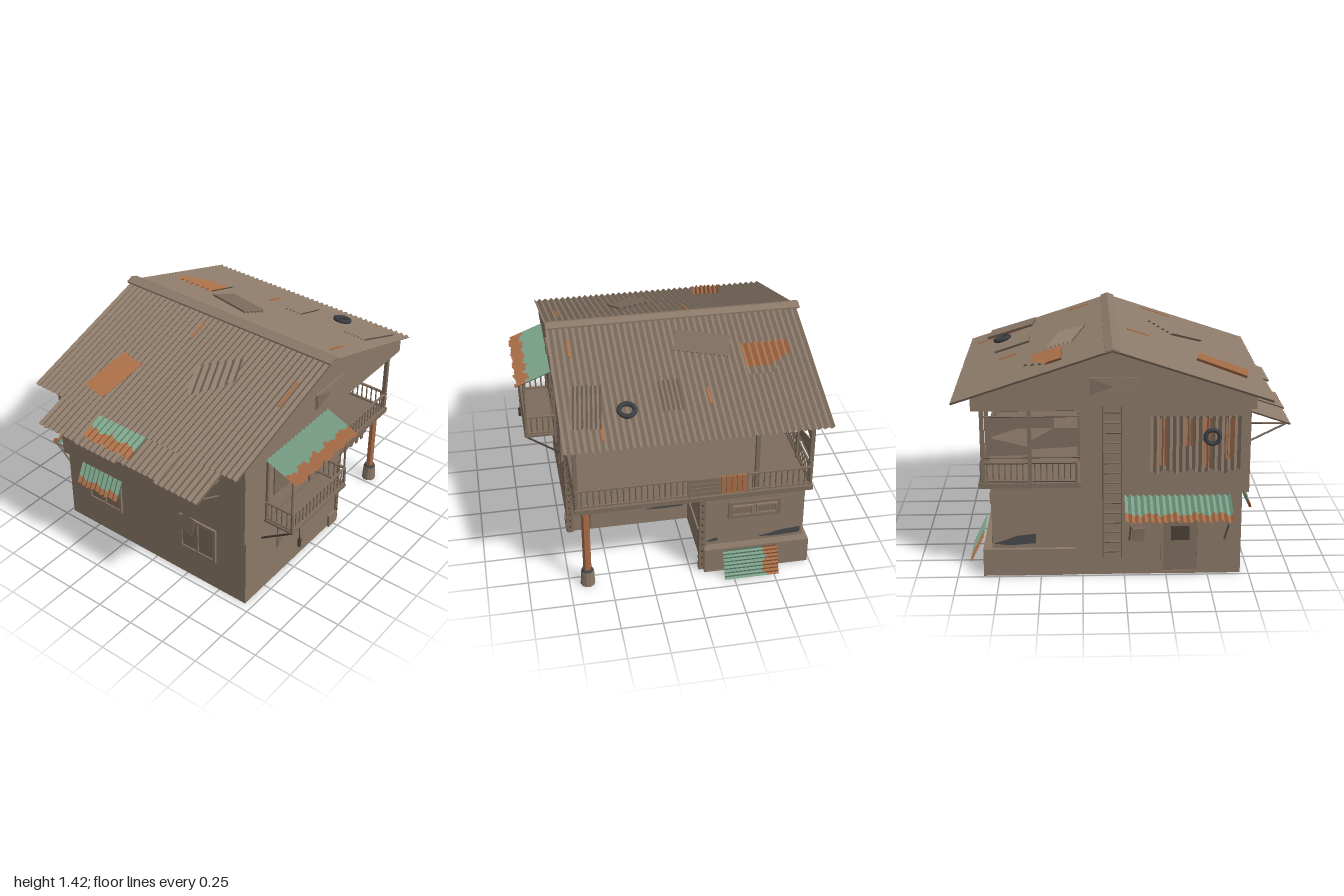
import * as THREE from 'three';

const mat = (name, color, extra = {}) => {
  const m = new THREE.MeshStandardMaterial({ color, side: THREE.DoubleSide, flatShading: true, ...extra });
  m.name = name;
  return m;
};

export function createModel() {
  const house = new THREE.Group();
  house.name = 'house';
  const wall = mat('weathered wall', 0x8a7867), wood = mat('old wood', 0x7d6c5c), tin = mat('dull tin', 0x8b7968);
  const rust = mat('rust', 0xa86d47), green = mat('green paint', 0x7aa088), dark = mat('dark grey', 0x47484a);
  const iron = mat('dark iron', 0x4b4037), rubber = mat('rubber', 0x3b3e41);

  // ---- helpers ----
  const add = (name, geo, m, parent = house) => {
    const mesh = new THREE.Mesh(geo, m);
    mesh.name = name;
    parent.add(mesh);
    return mesh;
  };
  const box = (name, m, x0, x1, y0, y1, z0, z1, parent) => {
    const mesh = add(name, new THREE.BoxGeometry(x1 - x0, y1 - y0, z1 - z0), m, parent);
    mesh.position.set((x0 + x1) / 2, (y0 + y1) / 2, (z0 + z1) / 2);
    return mesh;
  };
  const bar = (name, m, a, b, r = 0.006, parent) => {
    const p = new THREE.Vector3(...a), d = new THREE.Vector3(...b).sub(p);
    const mesh = add(name, new THREE.CylinderGeometry(r, r, d.length(), 6), m, parent);
    mesh.position.copy(p).addScaledVector(d, 0.5);
    mesh.quaternion.setFromUnitVectors(new THREE.Vector3(0, 1, 0), d.normalize());
    return mesh;
  };
  const frame = (name, x, y, z, ry = 0, rx = 0, parent = house) => {
    const g = new THREE.Group();
    g.name = name;
    g.rotation.order = 'YXZ';
    g.position.set(x, y, z);
    g.rotation.set(rx, ry, 0);
    parent.add(g);
    return g;
  };
  const poly = (name, m, pts, z, depth = 0.006, parent) => {
    const s = new THREE.Shape(pts.map(p => new THREE.Vector2(...p)));
    const mesh = add(name, new THREE.ExtrudeGeometry(s, { depth, bevelEnabled: false }), m, parent);
    mesh.position.z = z;
    return mesh;
  };
  // corrugated sheet: waves across x, running from z0(x) to z1(x)
  const sheet = (name, m, w, waves, amp, z0, z1, parent) => {
    const geo = new THREE.PlaneGeometry(w, 1, waves * 4, 1).rotateX(-Math.PI / 2);
    const p = geo.attributes.position, at = (f, x) => (typeof f === 'function' ? f(x) : f);
    for (let i = 0; i < p.count; i++) {
      const x = p.getX(i);
      p.setY(i, amp * Math.cos((x / w + 0.5) * waves * Math.PI * 2));
      p.setZ(i, at(p.getZ(i) < 0 ? z0 : z1, x));
    }
    geo.computeVertexNormals();
    return add(name, geo, m, parent);
  };
  const ragged = (z, k = 1) => x => z + k * (0.012 * Math.sin(x * 47) + 0.008 * Math.sin(x * 113 + 1));
  const rustySheet = (g, w, waves, z0, mid, z1, amp = 0.008) => {
    sheet('green sheet', green, w, waves, amp, z0, ragged(mid), g);
    sheet('rusty edge', rust, w, waves, amp, ragged(mid), ragged(z1, 0.5), g);
  };
  const railing = (a, b, y0, y1, gap = 0.036) => {
    const n = Math.round(Math.hypot(b[0] - a[0], b[1] - a[1]) / gap);
    for (const y of [y0 + 0.012, y1]) bar('rail', wood, [a[0], y, a[1]], [b[0], y, b[1]], 0.009);
    for (let i = 0; i <= n; i++) {
      const x = a[0] + (b[0] - a[0]) * i / n, z = a[1] + (b[1] - a[1]) * i / n;
      bar('baluster', wood, [x, y0, z], [x, y1, z], i % n ? 0.005 : 0.01);
    }
  };
  const opening = (name, g, w, h, pane, trim, t = 0.018) => {
    box(name + ' pane', pane, -w / 2, w / 2, -h / 2, h / 2, 0, 0.006, g);
    for (const s of [-1, 1]) {
      box(name + ' jamb', trim, s * w / 2 - t / 2, s * w / 2 + t / 2, -h / 2, h / 2, 0, 0.014, g);
      box(name + ' sill', trim, -w / 2 - t / 2, w / 2 + t / 2, s * h / 2 - t / 2, s * h / 2 + t / 2, 0, 0.014, g);
    }
  };
  const tire = (x, y, z, r, parent) => {
    const t = add('tire', new THREE.TorusGeometry(r, r * 0.32, 8, 20), rubber, parent);
    t.position.set(x, y, z);
    return t;
  };
  const Q = Math.PI / 2;

  // ---- storeys ----
  box('ground floor', wall, -0.7, 0.29, 0, 0.57, -0.73, 0.7);
  box('ground floor wing', wall, 0.29, 0.79, 0, 0.57, -0.71, -0.09);
  box('wing plinth', wall, 0.28, 0.845, 0, 0.17, -0.735, -0.08);
  poly('upper floor', wall, [[-0.74, 0.52], [0.26, 0.52], [0.26, 1.32], [0.07, 1.38], [-0.74, 1.115]], -0.735, 1.455);
  for (const z of [-0.745, 0.715])
    poly('gable', wall, [[-0.77, 1.04], [0.89, 1.04], [0.89, 1.115], [0.07, 1.385], [-0.77, 1.115]], z, 0.025);
  box('eave beam', wall, 0.86, 0.885, 1.04, 1.11, -0.73, 0.72);
  box('porch floor', wood, 0.25, 0.86, 0.56, 0.59, -0.735, 0.705);
  box('corner footing', wall, 0.2, 0.29, 0, 0.09, 0.66, 0.715);
  for (const [x, z] of [[0.29, 0.69], [0.8, -0.07]]) {
    box('steel post', wood, x - 0.013, x + 0.013, 0, 0.57, z - 0.02, z + 0.02);
    for (let y = 0.04; y < 0.56; y += 0.05) {
      box('rivet', iron, x - 0.005, x + 0.005, y, y + 0.01, z + 0.019, z + 0.024);
      box('rivet', iron, x + 0.012, x + 0.017, y, y + 0.01, z - 0.005, z + 0.005);
    }
  }

  // ---- roof: local z runs down each slope ----
  const a = 0.318, slopes = {};
  for (const s of [-1, 1]) {
    const g = slopes[s] = frame(s > 0 ? 'right roof slope' : 'left roof slope', 0.07, 1.4, 0, s * Q, a);
    const r = sheet('corrugated roof', tin, 1.55, 40, 0.008, 0, 0.98, g);
    r.position.x = s * 0.015;
  }
  const patch = (x, z, turn = 0) => {
    const s = x > 0.07 ? 1 : -1;
    return frame('roof patch', -s * z, 0.022, Math.abs(x - 0.07) / Math.cos(a), turn, 0, slopes[s]);
  };
  sheet('rusty sheet', rust, 0.17, 6, 0.009, -0.16, 0.16, patch(-0.6, -0.37, -0.18));
  sheet('torn sheet', tin, 0.27, 6, 0.009, x => -0.11 - 0.3 * x, x => Math.min(0.15, 0.1 - 0.6 * x), patch(-0.34, 0.2, 0.35));
  sheet('loose sheet', tin, 0.17, 6, 0.009, -0.165, 0.165, patch(0.33, -0.15, -1.84));
  sheet('small sheet', tin, 0.14, 5, 0.008, -0.115, 0.115, patch(0.68, 0.11));
  sheet('lower sheet', tin, 0.18, 7, 0.009, -0.16, 0.16, patch(0.71, 0.6, -0.12));
  const torn = patch(0.47, -0.52), tornEdge = x => Math.max(-0.05, Math.min(0.125, 0.125 - 1.1 * x));
  sheet('torn rusty sheet', rust, 0.29, 7, 0.009, -0.12, x => tornEdge(x) * 0.6 - 0.01, torn);
  sheet('torn sheet edge', tin, 0.29, 7, 0.009, x => tornEdge(x) * 0.6 - 0.01, tornEdge, torn);
  tire(0, 0.005, 0, 0.046, patch(0.76, 0.37)).rotation.x = Q;
  for (const [x, z, l] of [[-0.1, -0.13, 0.14], [0.27, 0.64, 0.14], [0.8, 0.53, 0.3], [-0.25, 0.66, 0.2], [0.7, -0.12, 0.12]])
    box('rust streak', rust, -0.008, 0.008, -0.014, -0.009, -l / 2, l / 2, patch(x, z));
  poly('ridge cap', tin, [[0.025, 1.395], [0.07, 1.41], [0.115, 1.395], [0.115, 1.405], [0.07, 1.422], [0.025, 1.405]], -0.81, 1.57);

  // ---- awnings ----
  rustySheet(frame('front awning', -0.265, 1.06, 0.735, 0, 0.38), 0.63, 17, 0, 0.16, 0.24);
  rustySheet(frame('back awning', -0.315, 0.505, -0.73, Math.PI, 0.32), 0.63, 17, 0, 0.175, 0.245);
  const side = frame('left awning', -0.74, 1.0, -0.045, -Q, 0.33);
  for (let i = 0; i < 4; i++) {
    const s = sheet('awning sheet', tin, 0.33, 8, 0.007, 0, 0.255 + 0.012 * Math.sin(i * 2.3), side);
    s.position.set(-0.46 + i * 0.307, 0.006 * (i % 2), 0);
  }
  rustySheet(frame('awning patch', -0.11, 0.02, 0, 0, 0, side), 0.37, 9, 0.01, 0.13, 0.205);
  rustySheet(frame('window awning', -0.705, 0.51, -0.42, -Q, 1.13), 0.34, 9, 0, 0.12, 0.165);
  const lean = frame('leaning sheet', 0.9, 0.087, 0);
  lean.rotation.z = -1.13;
  sheet('rusty end', rust, 0.185, 8, 0.007, -0.53, ragged(-0.44), lean);
  sheet('green sheet', green, 0.185, 8, 0.007, ragged(-0.44), -0.19, lean);
  for (const z of [-0.62, 0, 0.53]) {
    bar('awning strut', wood, [-0.74, 0.8, z], [-0.97, 0.915, z]);
    bar('awning arm', wood, [-0.74, 0.915, z], [-0.98, 0.912, z]);
  }
  for (const x of [-0.6, -0.03]) {
    bar('awning strut', wood, [x, 0.22, -0.73], [x, 0.415, -0.95]);
    bar('awning arm', wood, [x, 0.41, -0.73], [x, 0.41, -0.97]);
  }

  // ---- front balcony ----
  box('balcony floor', wood, -0.55, 0.02, 0.575, 0.59, 0.7, 0.925);
  railing([-0.54, 0.915], [0.01, 0.915], 0.59, 0.72);
  for (const x of [-0.54, 0.01]) {
    railing([x, 0.73], [x, 0.915], 0.59, 0.72);
    bar('awning post', wood, [x, 0.59, 0.91], [x, 0.99, 0.91], 0.007);
    bar('balcony strut', iron, [x, 0.42, 0.69], [x, 0.58, 0.92], 0.007);
  }
  opening('balcony window', frame('balcony window', -0.27, 0.8, 0.72), 0.52, 0.42, wall, wood);
  box('window shutter', wood, -0.47, -0.24, 0.73, 1.0, 0.725, 0.734);
  box('window mullion', wood, -0.1, -0.085, 0.6, 1.0, 0.725, 0.737);
  add('lantern', new THREE.CylinderGeometry(0.011, 0.011, 0.06, 8), iron).position.set(-0.47, 0.465, 0.925);
  bar('lantern cord', iron, [-0.47, 0.49, 0.925], [-0.47, 0.58, 0.92], 0.003);

  // ---- porch ----
  railing([0.28, 0.695], [0.84, 0.695], 0.59, 0.715);
  railing([0.28, -0.72], [0.84, -0.72], 0.59, 0.715);
  railing([0.84, 0.695], [0.84, 0.02], 0.59, 0.715);
  railing([0.84, -0.33], [0.84, -0.72], 0.59, 0.715);
  for (let i = 0; i < 4; i++) box('rail plank', wood, 0.835, 0.85, 0.595 + i * 0.031, 0.621 + i * 0.031, -0.17, 0.03);
  for (let i = 0; i < 5; i++) box('rusty rail board', rust, 0.835, 0.85, 0.595, 0.715, -0.2 - i * 0.032, -0.173 - i * 0.032);
  for (const [x, z] of [[0.83, 0.69], [0.83, -0.39], [0.83, -0.72], [0.555, -0.72]])
    box('porch post', wood, x - 0.012, x + 0.012, 0.59, 1.14, z - 0.012, z + 0.012);
  for (const y of [0.75, 1.0]) bar('screen rail', wood, [0.26, y, -0.725], [0.83, y, -0.725], 0.006);
  for (const pts of [[[0.26, 0.93], [0.41, 0.93], [0.55, 0.85], [0.55, 0.8], [0.26, 0.815]],
    [[0.41, 1.0], [0.8, 1.0], [0.8, 0.87], [0.62, 0.93], [0.41, 0.93]],
    [[0.54, 0.81], [0.8, 0.875], [0.8, 0.76], [0.56, 0.765]]])
    poly('broken back screen', wood, pts, -0.728);
  bar('rusty column', rust, [0.81, 0.08, 0.64], [0.81, 0.57, 0.64], 0.025);
  add('column base', new THREE.CylinderGeometry(0.04, 0.045, 0.1, 10), wall).position.set(0.81, 0.05, 0.64);
  add('column collar', new THREE.CylinderGeometry(0.032, 0.04, 0.02, 10), dark).position.set(0.81, 0.105, 0.64);
  for (let i = 0; i < 15; i++)
    box('hanging plank', wood, 0.315 + i * 0.031, 0.342 + i * 0.031, 0.36 + 0.035 * Math.abs(Math.sin(i * 1.7)), 0.52, 0.6, 0.608);
  bar('plank rail', wood, [0.3, 0.51, 0.6], [0.8, 0.51, 0.6]);
  railing([0.305, 0.62], [0.305, -0.04], 0.39, 0.51, 0.05);
  const upperDoor = frame('porch door', 0.26, 0.79, -0.23, Q);
  opening('porch door', upperDoor, 0.25, 0.4, rust, rust);
  box('door screen', dark, -0.11, 0.11, -0.07, 0.18, 0.006, 0.012, upperDoor);
  const upperWindow = frame('porch window', 0.26, 0.86, -0.54, Q);
  opening('porch window', upperWindow, 0.24, 0.28, wall, wood);
  box('dark pane', dark, -0.12, -0.05, -0.11, 0.07, 0.006, 0.011, upperWindow);

  // ---- windows, doors and vents ----
  const wing = frame('wing window', 0.79, 0.42, -0.395, Q);
  opening('wing window', wing, 0.31, 0.1, wall, wood);
  for (const x of [-0.075, 0.075]) opening('sash', frame('sash', x, 0, 0.008, 0, 0, wing), 0.12, 0.06, wood, tin, 0.01);
  for (const pts of [[[-0.38, 0.45], [-0.38, 0.35], [-0.32, 0.4]], [[-0.25, 0.45], [-0.145, 0.45], [-0.145, 0.345]],
    [[-0.38, 0.33], [-0.38, 0.23], [-0.32, 0.28]], [[-0.145, 0.33], [-0.145, 0.23], [-0.2, 0.28]]])
    poly('broken window board', wood, pts, 0.7);
  for (const [z, ry] of [[0.74, 0], [-0.745, Math.PI]]) {
    const vent = frame('gable vent', 0.06, 1.185, z, ry);
    box('vent plate', tin, -0.145, 0.145, -0.052, 0.052, 0, 0.009, vent);
    poly('vent flap', wood, [[-0.14, 0.05], [0, 0], [-0.14, -0.05]], 0.009, 0.005, vent);
  }
  opening('back door', frame('back door', -0.335, 0.185, -0.73, Math.PI), 0.22, 0.34, wood, wall);
  box('door light', iron, -0.39, -0.28, 0.22, 0.31, -0.742, -0.736);
  for (const [z, name] of [[-0.42, 'rear side window'], [0.34, 'side window']]) {
    const w = frame(name, -0.7, 0.345, z, -Q);
    opening(name, w, 0.26, 0.24, wood, wall);
    box('window bar', wall, -0.006, 0.006, -0.12, 0.12, 0.006, 0.014, w);
  }
  const plank = box('hanging shutter', tin, -0.722, -0.714, 0.36, 0.5, 0.22, 0.32);
  plank.rotation.x = 0.25;
  opening('upper side window', frame('upper side window', -0.74, 0.8, -0.5, -Q), 0.2, 0.16, dark, wood);

  // ---- back wall fittings ----
  const cover = frame('corrugated cover', -0.415, 1.0, -0.745, Math.PI, Q);
  sheet('cover sheet', tin, 0.53, 14, 0.008, 0, ragged(0.34), cover);
  for (const [x, l] of [[-0.19, 0.3], [-0.04, 0.18], [0.07, 0.32], [0.2, 0.26]])
    sheet('rusty strip', rust, 0.05, 1, 0.008, 0.01, l, cover).position.set(x, 0.004, 0);
  tire(-0.51, 0.885, -0.785, 0.042);
  for (const x of [0.015, 0.125]) bar('ladder rail', wood, [x, 0.13, -0.78], [x, 1.08, -0.78], 0.008);
  for (let i = 0; i < 15; i++) bar('ladder rung', wood, [0.015, 0.17 + i * 0.062, -0.78], [0.125, 0.17 + i * 0.062, -0.78], 0.006);
  box('meter box', wood, -0.12, -0.05, 0.22, 0.3, -0.755, -0.73);

  // ---- bare dark patches where the plaster has gone ----
  const stain = (g, x, y, w, h) => poly('plaster stain', dark,
    [[x, y], [x + w * 0.4, y - h * 0.2], [x + w, y], [x + w, y + h], [x + w * 0.55, y + h * 0.8], [x + w * 0.3, y + h * 0.4]], 0, 0.004, g);
  const wingSide = frame('wing side stains', 0.79, 0, 0, Q), wingBack = frame('wing back stains', 0, 0, -0.71, Math.PI);
  const wingFront = frame('wing front stains', 0, 0, -0.09), inner = frame('inner wall stains', 0.29, 0, 0, Q);
  stain(wingSide, 0.43, 0.195, 0.26, 0.04);
  stain(wingSide, 0.1, 0.2, 0.07, 0.02);
  stain(wingSide, 0.1, 0.545, 0.12, 0.022);
  stain(wingFront, 0.6, 0.195, 0.19, 0.035);
  stain(wingFront, 0.3, 0.555, 0.22, 0.013);
  stain(wingBack, -0.78, 0.2, 0.25, 0.06);
  stain(inner, -0.2, 0.11, 0.25, 0.025);
  stain(inner, -0.58, 0.555, 0.15, 0.013);
  return house;
}
